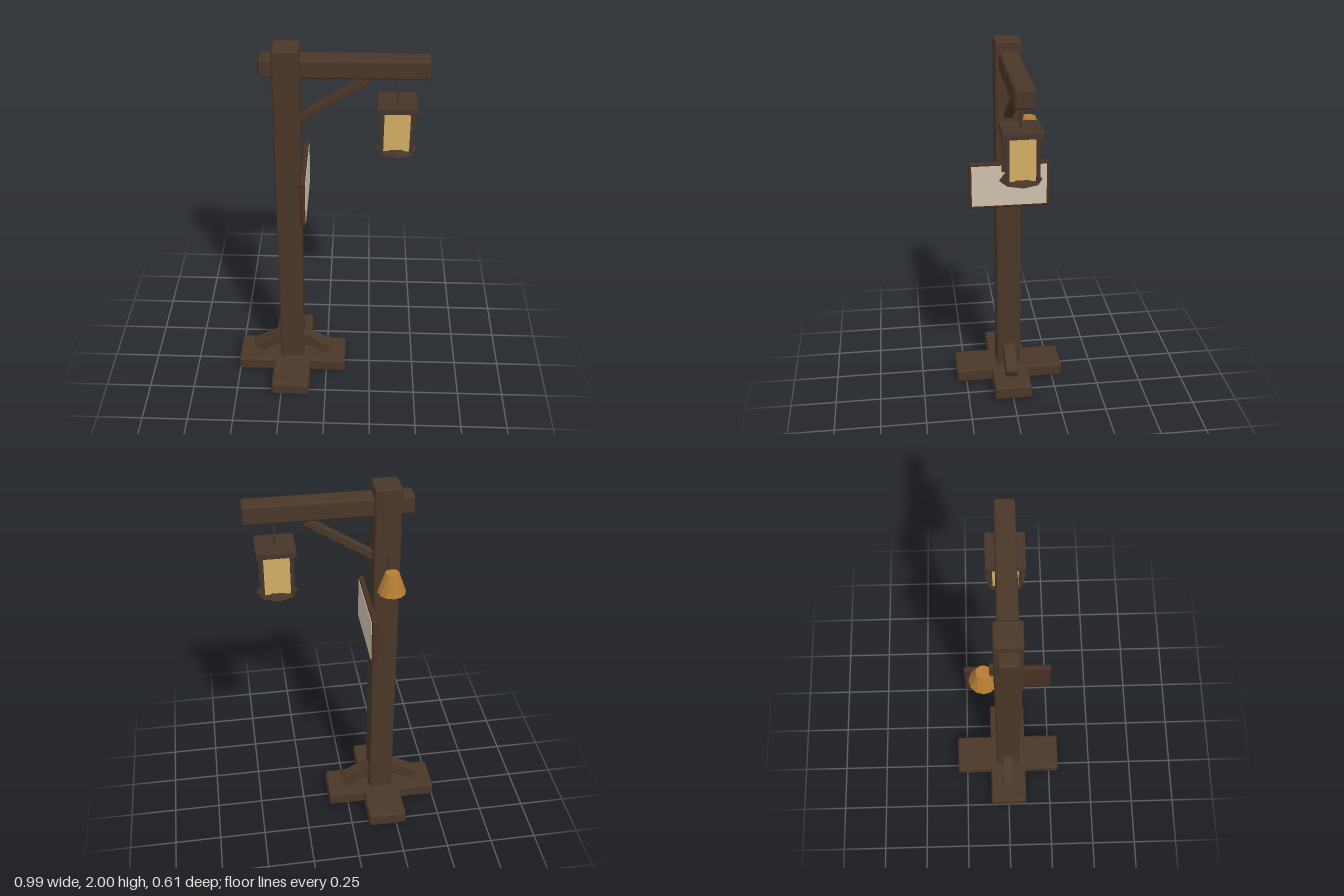
import * as THREE from 'three';
import { RoundedBoxGeometry } from 'three/addons/geometries/RoundedBoxGeometry.js';

const mat = (name, color, flatShading = false) => {
  const m = new THREE.MeshStandardMaterial({ color, flatShading });
  m.name = name;
  return m;
};

export function createModel() {
  const wood = mat('darkWood', 0x4a3728);
  const frameWood = mat('boardWood', 0x4a3024);
  const iron = mat('lanternIron', 0x46352a, true);
  const glow = mat('lanternGlow', 0xd4ad66);
  const paper = mat('paper', 0xcdc1ab);
  const brass = mat('bellBrass', 0xb57c34, true);

  const model = new THREE.Group();
  model.name = 'lanternPost';

  const add = (parent, name, geometry, material, x, y, z, rotZ = 0) => {
    const mesh = new THREE.Mesh(geometry, material);
    mesh.name = name;
    mesh.position.set(x, y, z);
    mesh.rotation.z = rotZ;
    parent.add(mesh);
    return mesh;
  };
  const beam = (w, h, d, r = 0.012) => new RoundedBoxGeometry(w, h, d, 2, r);
  const box = (w, h, d) => new THREE.BoxGeometry(w, h, d);

  const postX = -0.196;

  // Crossed foot planks
  add(model, 'footPlankAcross', beam(0.61, 0.08, 0.21, 0.015), wood, postX, 0.05, 0);
  add(model, 'footPlankDeep', beam(0.21, 0.08, 0.61, 0.015), wood, postX, 0.05, 0);

  // Upright, arm and diagonal brace
  add(model, 'post', beam(0.132, 2, 0.136), wood, postX, 1, 0);
  add(model, 'arm', beam(0.82, 0.1, 0.1, 0.015), wood, 0.083, 1.9, 0);
  add(model, 'armBrace', beam(0.42, 0.037, 0.045, 0.005), wood, 0.019, 1.719, 0, 0.576);

  // Slanted wedges propping the post
  for (const side of [-1, 1]) {
    add(model, 'footBrace', beam(0.2, 0.07, 0.066, 0.008), wood,
      postX + side * 0.121, 0.16, 0, -side * 0.52);
  }

  // Notice board on the side of the post
  const board = new THREE.Group();
  board.name = 'noticeBoard';
  board.position.set(-0.114, 1.238, 0);
  add(board, 'boardFrame', beam(0.026, 0.256, 0.43, 0.008), frameWood, 0, 0, 0);
  add(board, 'boardSheet', box(0.006, 0.226, 0.4), paper, 0.013, 0, 0);
  model.add(board);

  // Hanging lantern
  const lantern = new THREE.Group();
  lantern.name = 'lantern';
  lantern.position.set(0.344, 0, 0);
  add(lantern, 'hangingRod', new THREE.CylinderGeometry(0.006, 0.006, 0.14, 6), iron, 0, 1.78, 0);
  add(lantern, 'lanternRoof', box(0.192, 0.026, 0.192), iron, 0, 1.706, 0);
  add(lantern, 'lanternGlass', box(0.135, 0.215, 0.135), glow, 0, 1.584, 0);
  add(lantern, 'lanternBase', new THREE.CylinderGeometry(0.08, 0.104, 0.026, 8), iron, 0, 1.469, 0);
  for (const x of [-1, 1]) {
    for (const z of [-1, 1]) {
      add(lantern, 'lanternCorner', box(0.018, 0.225, 0.018), iron, x * 0.073, 1.585, z * 0.073);
    }
  }
  model.add(lantern);

  // Bell on a small bracket behind the post
  const bell = new THREE.Group();
  bell.name = 'bell';
  bell.position.set(-0.212, 0, -0.117);
  add(bell, 'bellBody', new THREE.CylinderGeometry(0.035, 0.071, 0.108, 12), brass, 0, 1.524, 0);
  add(bell, 'bellBracket', box(0.026, 0.1, 0.03), wood, 0, 1.61, 0.044);
  model.add(bell);

  return model;
}
